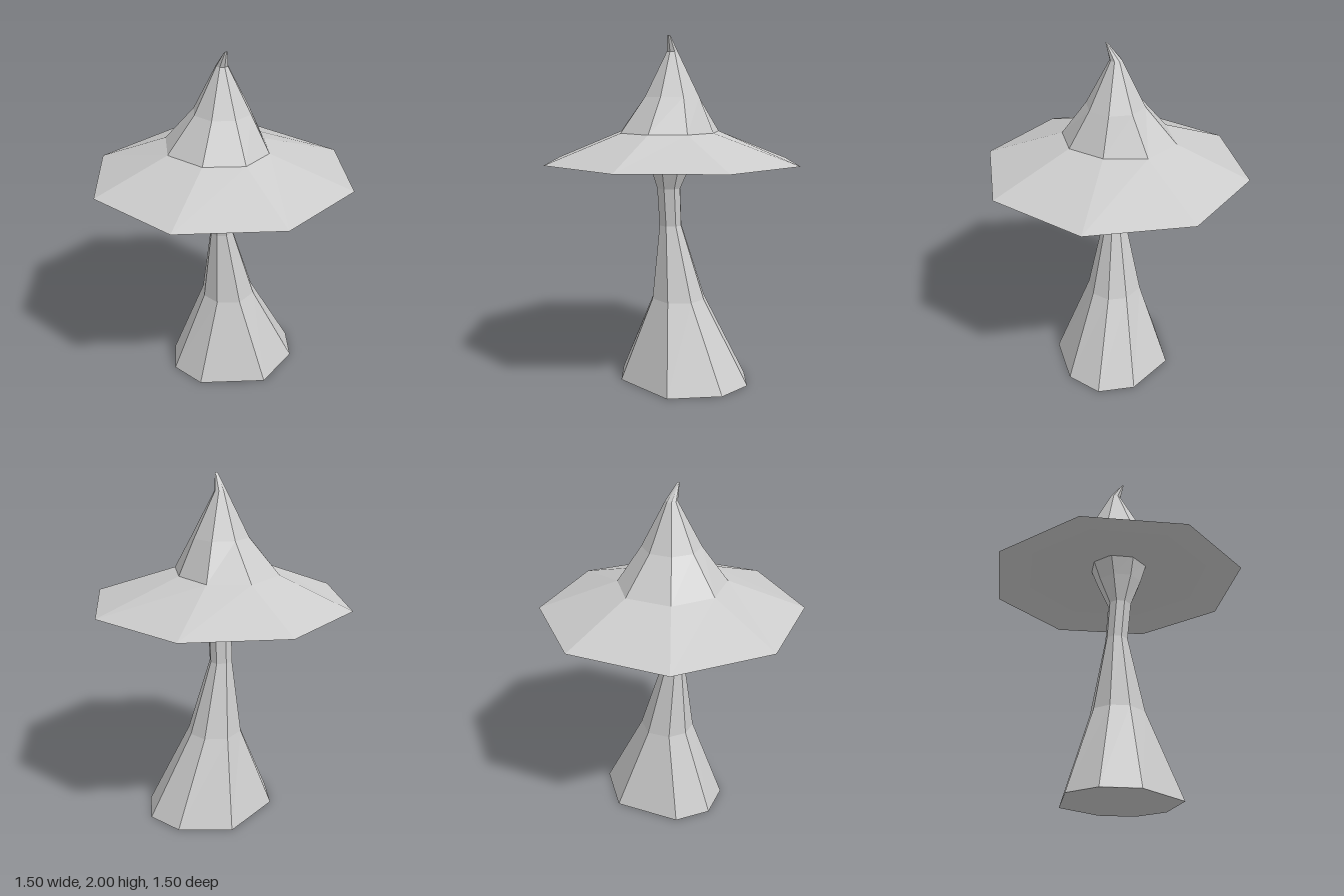
import * as THREE from 'three';

const SIDES = 8;

// Eight-sided ring; lean slides the two side corners along x
function ring(y, cx, cz, rx, rz, { tilt = 0, lean = 0, diagX = Math.SQRT1_2, diagZ = Math.SQRT1_2 } = {}) {
  const unit = [[1, 0], [diagX, diagZ], [lean, 1], [-diagX, diagZ], [-1, 0], [-diagX, -diagZ], [lean, -1], [diagX, -diagZ]];
  return unit.map(([x, z]) => [cx + rx * x, y + tilt * z, cz + rz * z]);
}

// Closed flat-shaded skin through a list of rings
function loft(name, rings) {
  const pos = [];
  const tri = (...corners) => corners.forEach((c) => pos.push(...c));
  const middle = (r) => [0, 1, 2].map((k) => r.reduce((s, p) => s + p[k], 0) / SIDES);
  const first = rings[0], last = rings[rings.length - 1];
  const start = middle(first), end = middle(last);
  for (let i = 0; i < SIDES; i++) {
    const j = (i + 1) % SIDES;
    tri(start, first[i], first[j]);
    tri(end, last[j], last[i]);
    for (let k = 0; k + 1 < rings.length; k++) {
      const a = rings[k], b = rings[k + 1];
      tri(a[i], b[i], a[j]);
      tri(a[j], b[i], b[j]);
    }
  }
  const geometry = new THREE.BufferGeometry();
  geometry.setAttribute('position', new THREE.Float32BufferAttribute(pos, 3));
  geometry.computeVertexNormals();
  const mesh = new THREE.Mesh(geometry, new THREE.MeshStandardMaterial({ color: 0xcccccc, flatShading: true }));
  mesh.name = name;
  return mesh;
}

export function createModel() {
  const group = new THREE.Group();
  group.name = 'mushroom';

  // Stem: wide foot, narrow waist, flaring into the cap
  const soft = { diagX: 0.76, diagZ: 0.64 };
  group.add(loft('stem', [
    ring(0, 0.073, 0, 0.4, 0.352, { lean: 0.11, diagX: 0.79, diagZ: 0.57 }),
    ring(0.49, 0.04, 0, 0.16, 0.16, soft),
    ring(0.92, -0.007, 0.008, 0.067, 0.066, soft),
    ring(1.14, -0.01, 0.027, 0.07, 0.069, soft),
    ring(1.29, 0, 0.023, 0.13, 0.132),
    ring(1.41, 0, 0.02, 0.18, 0.175),
  ]));

  // Uneven ring where the brim meets the crown, as [x, z]
  const crown = [[0.255, 0.01], [0.18, 0.215], [-0.01, 0.31], [-0.22, 0.22],
    [-0.325, 0], [-0.24, -0.24], [0, -0.34], [0.205, -0.22]].map(([x, z]) => [x, 1.46, z]);

  // Cap: hollowed underside, broad brim, pointed crown with a bent tip
  group.add(loft('cap', [
    ring(1.4, 0, 0, 0.1, 0.1),
    ring(1.34, 0, 0, 0.55, 0.55),
    ring(1.292, 0, 0, 0.75, 0.75, { tilt: 0.006 }),
    crown,
    ring(1.66, 0, 0, 0.165, 0.165),
    ring(1.91, 0, -0.002, 0.034, 0.034),
    ring(1.993, 0, 0.044, 0.01, 0.01, { tilt: 0.007 }),
  ]));

  return group;
}
